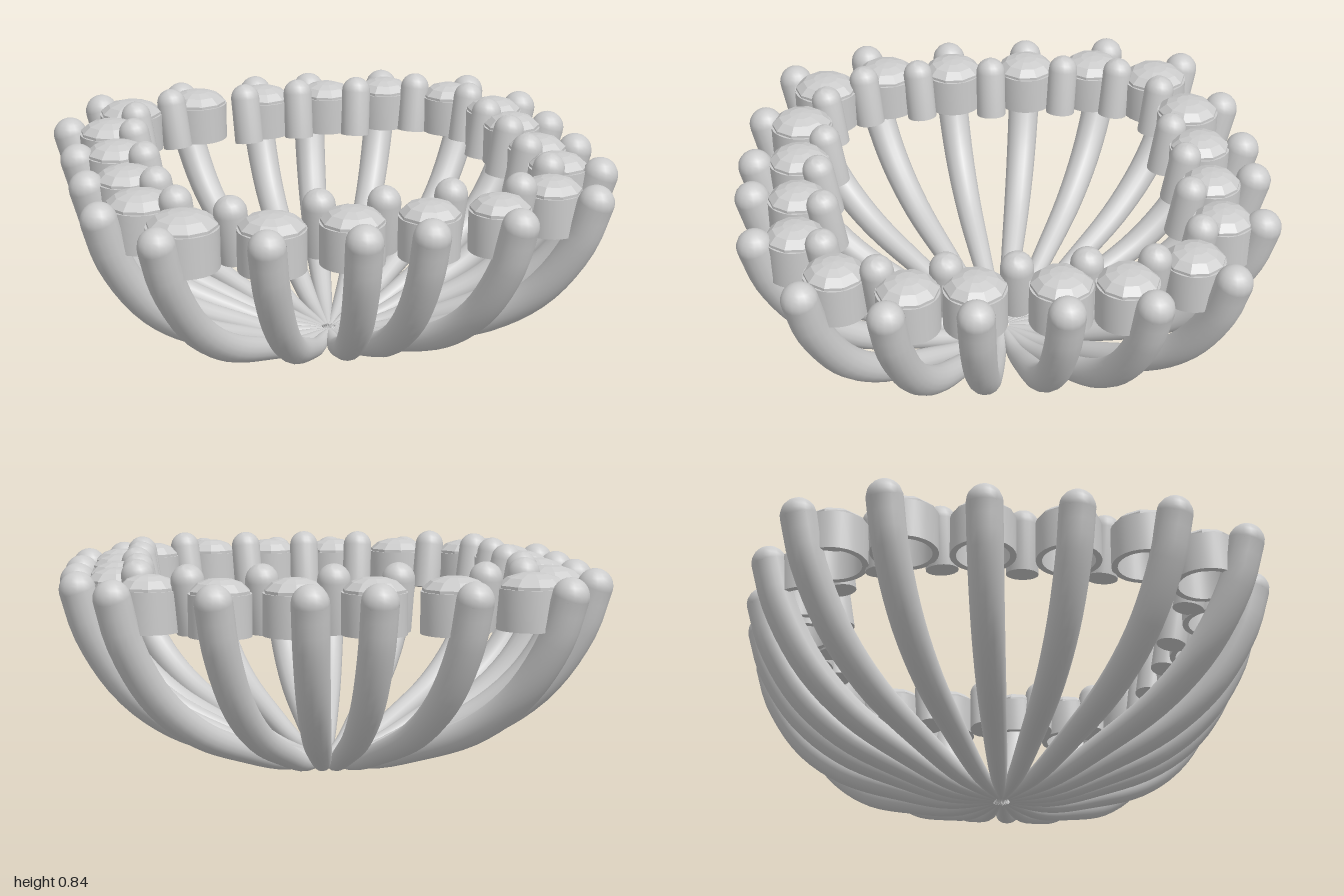
import * as THREE from 'three';
import { toCreasedNormals } from 'three/addons/utils/BufferGeometryUtils.js';

const smooth = new THREE.MeshStandardMaterial({ color: 0xcccccc, side: THREE.DoubleSide });
const faceted = new THREE.MeshStandardMaterial({ color: 0xcccccc, flatShading: true });
const v2 = (pairs) => pairs.map(([x, y]) => new THREE.Vector2(x, y));

// All lists hold the z >= 0 half; entries off the axis are mirrored to -z.
const RIBS = [ // tip x, z
  [-0.765, 0.79], [-0.42, 0.895], [-0.1, 0.92], [0.13, 0.92], [0.445, 0.895],
  [0.78, 0.73], [0.91, 0.445], [0.925, 0.15], [-0.92, 0.5], [-0.925, 0.16],
];
const STONES = [ // x, z, radius
  [-0.66, 0.665, 0.125], [-0.375, 0.755, 0.118], [-0.1, 0.757, 0.113], [0.17, 0.755, 0.108],
  [0.42, 0.755, 0.108], [0.66, 0.615, 0.108], [0.775, 0.37, 0.11], [0.775, 0.145, 0.11],
  [-0.77, 0.422, 0.12], [-0.78, 0.15, 0.116],
];
const POSTS = [ // x, z
  [-0.49, 0.65], [-0.19, 0.65], [0.03, 0.67], [0.27, 0.65], [0.52, 0.65],
  [0.69, 0.465], [0.69, 0.235], [0.7, 0], [-0.65, 0.505], [-0.685, 0.29], [-0.685, 0],
];

function mirrored(list, build) {
  for (const [x, z, r] of list) {
    build(x, z, r);
    if (z !== 0) build(x, -z, r);
  }
}

// Tapering curved rib reaching out along local +x to the given distance
function ribGeometry(reach) {
  const profile = [[0.03, 0.013], [0.21, 0.036], [0.4, 0.105], [0.64, 0.215],
    [0.82, 0.365], [0.95, 0.57], [1, 0.727]];
  const curve = new THREE.CatmullRomCurve3(
    profile.map(([u, y]) => new THREE.Vector3(u * reach, y, 0)));
  const steps = 24, sides = 16;
  const geo = new THREE.TubeGeometry(curve, steps, 1, sides);
  const pos = geo.attributes.position, v = new THREE.Vector3();
  for (let i = 0; i <= steps; i++) {
    const c = curve.getPointAt(i / steps);
    const r = 0.065 * Math.pow(Math.min(1, c.x / reach), 0.45);
    for (let j = 0; j <= sides; j++) {
      const k = i * (sides + 1) + j;
      v.fromBufferAttribute(pos, k).sub(c).multiplyScalar(r).add(c);
      pos.setXYZ(k, v.x, v.y, v.z);
    }
  }
  return geo;
}

function addRib(parent, x, z) {
  const reach = Math.hypot(x, z);
  const rib = new THREE.Group();
  rib.name = 'rib';
  const stem = new THREE.Mesh(ribGeometry(reach), smooth);
  stem.name = 'ribStem';
  const tip = new THREE.Mesh(new THREE.SphereGeometry(0.065, 16, 12), smooth);
  tip.name = 'ribTip';
  tip.position.set(reach, 0.727, 0);
  rib.add(stem, tip);
  rib.rotation.y = Math.atan2(-z, x);
  parent.add(rib);
}

// Hollow collar with a faceted stone set in its top
function addStone(parent, x, z, r) {
  const setting = new THREE.Group();
  setting.name = 'stoneSetting';
  const inner = r - 0.022;
  const ring = new THREE.LatheGeometry(v2([
    [r, 0.6], [r, 0.745], [inner, 0.745], [inner, 0.6], [r, 0.6]]), 32);
  const collar = new THREE.Mesh(toCreasedNormals(ring, 0.6), smooth);
  collar.name = 'collar';
  const cut = new THREE.LatheGeometry(v2([
    [0, 0.655], [r * 0.5, 0.69], [r * 0.97, 0.742], [r * 0.97, 0.755],
    [r * 0.72, 0.78], [r * 0.38, 0.793], [0, 0.797]]), 10);
  const stone = new THREE.Mesh(cut, faceted);
  stone.name = 'stone';
  setting.add(collar, stone);
  setting.position.set(x, 0, z);
  parent.add(setting);
}

// Short domed post leaning slightly outward
const dome = [0, 1, 2, 3, 4, 5, 6].map((i) => {
  const a = (i / 6) * Math.PI / 2;
  return [i === 6 ? 0 : 0.058 * Math.cos(a), 0.065 + 0.058 * Math.sin(a)];
});
const postGeometry = toCreasedNormals(
  new THREE.LatheGeometry(v2([[0, -0.115], [0.058, -0.115], ...dome]), 20), 0.7);

function addPost(parent, x, z) {
  const post = new THREE.Mesh(postGeometry, smooth);
  post.name = 'innerPost';
  post.position.set(x, 0.713, z);
  const outward = new THREE.Vector3(x, 0, z).normalize();
  const axis = new THREE.Vector3(0, 1, 0).cross(outward);
  post.quaternion.setFromAxisAngle(axis, 0.17);
  parent.add(post);
}

export function createModel() {
  const model = new THREE.Group();
  model.name = 'stoneSetBasket';
  const groups = { ribs: [RIBS, addRib], stones: [STONES, addStone], posts: [POSTS, addPost] };
  for (const [name, [list, add]] of Object.entries(groups)) {
    const group = new THREE.Group();
    group.name = name;
    mirrored(list, (x, z, r) => add(group, x, z, r));
    model.add(group);
  }
  return model;
}
